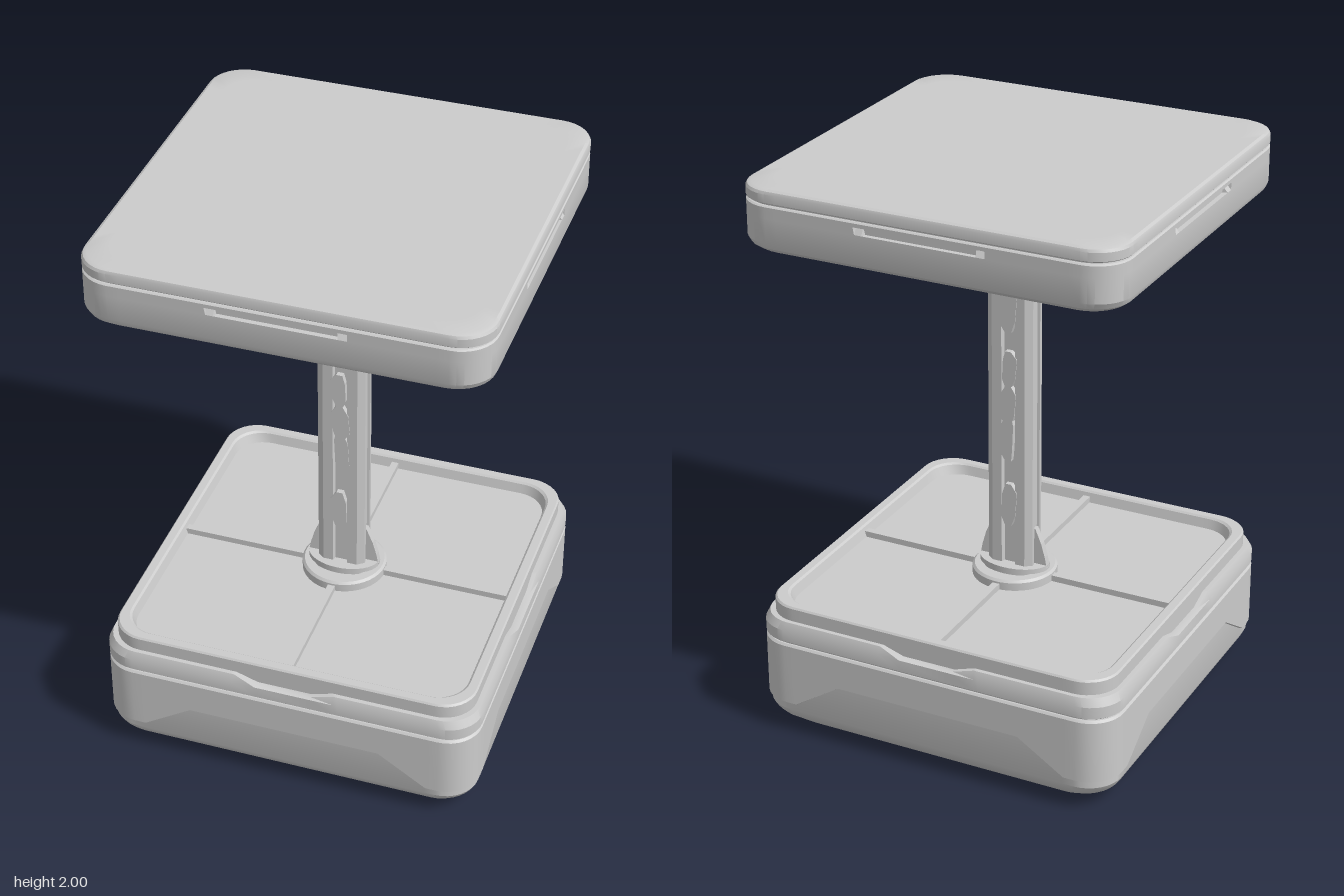
import * as THREE from 'three';
import { toCreasedNormals, mergeGeometries } from 'three/addons/utils/BufferGeometryUtils.js';

const mat = new THREE.MeshStandardMaterial({ color: 0xcccccc });
const add = (parent, name, geo) => {
  const mesh = new THREE.Mesh(geo, mat);
  mesh.name = name;
  parent.add(mesh);
  return mesh;
};

// Positions along each straight side where edge contours may break
const half = [0.1, 0.18, 0.195, 0.2, 0.225, 0.23, 0.34, 0.51, 0.55];
const SIDE = [...half.map(t => -t).reverse(), ...half];
const val = (f, t) => (typeof f === 'function' ? f(t) : f);

// One rounded-square ring; half-width h and height y may vary along the side
function ring([h, y]) {
  const h1 = val(h, 1), r = h1 * 0.18, c = h1 - r, pts = [];
  for (let q = 0; q < 4; q++) {
    const cs = [1, 0, -1, 0][q], sn = [0, 1, 0, -1][q];
    const put = (a, b, t) => pts.push([a * cs - b * sn, val(y, Math.abs(t)), a * sn + b * cs]);
    for (const t of SIDE) put(val(h, Math.abs(t)), t * c / 0.55, t);
    for (let i = 1; i < 8; i++) {
      const a = i / 8 * Math.PI / 2;
      put(c + r * Math.cos(a), c + r * Math.sin(a), 1);
    }
  }
  return pts;
}

// Skin a stack of rings, ordered from the bottom up, closed at both ends
function loft(profile) {
  const rings = profile.map(ring), n = rings[0].length, pos = [], idx = [];
  rings.forEach(r => r.forEach(p => pos.push(...p)));
  for (let k = 0; k < rings.length - 1; k++)
    for (let i = 0; i < n; i++) {
      const a = k * n + i, b = k * n + (i + 1) % n;
      idx.push(a, a + n, b + n, a, b + n, b);
    }
  const last = (rings.length - 1) * n, c0 = rings.length * n;
  pos.push(0, val(profile[0][1], 1), 0, 0, val(profile.at(-1)[1], 1), 0);
  for (let i = 0; i < n; i++) {
    const j = (i + 1) % n;
    idx.push(c0, i, j, c0 + 1, last + j, last + i);
  }
  const g = new THREE.BufferGeometry();
  g.setAttribute('position', new THREE.Float32BufferAttribute(pos, 3));
  g.setIndex(idx);
  return toCreasedNormals(g, 0.45);
}

const polygon = pts => new THREE.Shape(pts.map(p => new THREE.Vector2(...p)));
const ramp = (a, b, ya, yb) => t => THREE.MathUtils.mapLinear(THREE.MathUtils.clamp(t, a, b), a, b, ya, yb);

// Square raised frame lying flat, h outer half-width, w bar width
function frame(h, w, depth) {
  const sq = s => [[-s, -s], [s, -s], [s, s], [-s, s]];
  const s = polygon(sq(h));
  s.holes.push(new THREE.Path(polygon(sq(h - w)).getPoints().reverse()));
  return new THREE.ExtrudeGeometry(s, { depth, bevelEnabled: false }).rotateX(-Math.PI / 2);
}

function buildBase() {
  const base = new THREE.Group();
  base.name = 'base';
  add(base, 'lowerBody', loft([
    [0.565, 0], [0.585, 0.005], [0.64, 0.05], [0.655, 0.07], [0.664, 0.09], [0.664, 0.3],
  ]));
  // Outer cladding with the raised cut-out in the middle of each side
  const skirt = ramp(0.34, 0.51, 0.23, 0.12);
  add(base, 'bodyCladding', loft([
    [0.655, skirt], [0.672, skirt], [0.672, 0.345], [0.666, 0.352], [0.64, 0.352],
  ]));
  add(base, 'seam', loft([[0.66, 0.34], [0.66, 0.37]]));
  // Upper band, its top edge dipping in the middle of each side
  const dip = ramp(0.1, 0.18, 0.408, 0.433);
  add(base, 'upperBand', loft([
    [0.64, 0.358], [0.667, 0.358], [0.672, 0.363], [0.672, 0.405],
    [0.66, dip], [0.645, dip], [0.64, 0.4],
  ]));
  add(base, 'tray', loft([
    [0.645, 0.4], [0.645, 0.48], [0.64, 0.486], [0.612, 0.486], [0.605, 0.48], [0.595, 0.445],
  ]));
  for (const turn of [0, 1]) {
    const rib = add(base, 'trayRib', new THREE.BoxGeometry(1.2, 0.03, 0.026));
    rib.position.y = 0.452;
    rib.rotation.y = turn * Math.PI / 2;
  }
  add(base, 'hub', toCreasedNormals(new THREE.LatheGeometry([
    [0.15, 0.44], [0.15, 0.474], [0.142, 0.482], [0.11, 0.482], [0.105, 0.476], [0, 0.476],
  ].map(p => new THREE.Vector2(...p)), 48), 0.5));
  return base;
}

function buildLid() {
  const lid = new THREE.Group();
  lid.name = 'top';
  // Finger recess in the middle of each side
  const cut = w => t => (t <= w ? 0.655 : 0.672);
  add(lid, 'lidBody', loft([
    [0.55, 1.77], [0.56, 1.768], [0.6, 1.77], [0.645, 1.784], [0.664, 1.8], [0.672, 1.82], [0.672, 1.905],
    [cut(0.195), 1.905], [cut(0.225), 1.929], [0.672, 1.93],
    [0.672, 1.943], [0.667, 1.947], [0.6, 1.947],
  ]));
  add(lid, 'lidSeam', loft([[0.66, 1.93], [0.66, 1.97]]));
  add(lid, 'lidCover', loft([
    [0.6, 1.953], [0.668, 1.953], [0.672, 1.957], [0.672, 1.986], [0.668, 1.995], [0.658, 2], [0.6, 2],
  ]));
  // Underside frames and the grid of round cups
  add(lid, 'undersideFrame', frame(0.47, 0.012, 0.008)).position.y = 1.764;
  add(lid, 'undersideInnerFrame', frame(0.43, 0.012, 0.009)).position.y = 1.762;
  const cup = new THREE.LatheGeometry([
    [0, 0.001], [0.025, 0.001], [0.03, -0.003], [0.045, -0.003], [0.05, 0.002],
    [0.062, 0.002], [0.066, -0.006], [0.076, -0.006], [0.08, 0.004],
  ].map(p => new THREE.Vector2(p[0], p[1] + 1.766)), 28);
  // Profile runs outward, so its faces look down
  const cups = [];
  for (let i = -2; i <= 2; i++)
    for (let j = -2; j <= 2; j++)
      if (i || j) cups.push(cup.clone().translate(i * 0.17, 0, j * 0.17));
  const cupMesh = add(lid, 'cupGrid', toCreasedNormals(mergeGeometries(cups), 0.5));
  cupMesh.material = mat.clone();
  cupMesh.material.side = THREE.DoubleSide;
  return lid;
}

function buildPost() {
  const post = new THREE.Group();
  post.name = 'post';
  // Quarter of the section, mirrored: chamfered sides, grooves on all faces
  const q = [[0.076, 0.018], [0.085, 0.02], [0.085, 0.034], [0.062, 0.052], [0.026, 0.052], [0.022, 0.036]];
  const neg = (sx, sy, l) => l.map(([x, y]) => [x * sx, y * sy]);
  const rev = [...q].reverse();
  const section = polygon([...q, ...neg(-1, 1, rev), ...neg(-1, -1, q), ...neg(1, -1, rev)]);
  add(post, 'column', new THREE.ExtrudeGeometry(section, { depth: 1.3, bevelEnabled: false })
    .rotateX(-Math.PI / 2).translate(0, 0.46, 0));
  // Irregular inlays along the front and back grooves
  const inlay = (y, h, l, r) => polygon([
    [-0.012, y], [0.012, y], [r, y + h * 0.2], [r * 0.85, y + h * 0.75],
    [0.01, y + h], [-0.012, y + h], [-l, y + h * 0.8], [-l * 0.8, y + h * 0.25],
  ]);
  const inlays = [[0.65, 0.16, 0.034, 0.026], [0.9, 0.17, 0.02, 0.034], [1.04, 0.14, 0.03, 0.036],
    [1.18, 0.13, 0.034, 0.022], [1.38, 0.18, 0.034, 0.036]]
    .map(a => new THREE.ExtrudeGeometry(inlay(...a), { depth: 0.11, bevelEnabled: false }).translate(0, 0, -0.055));
  add(post, 'grooveInlays', mergeGeometries(inlays));
  // Oval flanges and side gussets at both ends
  for (const [y, h] of [[0.487, 0.026], [1.755, 0.034]]) {
    const f = add(post, 'flange', new THREE.CylinderGeometry(0.13, 0.13, h, 40));
    f.position.y = y;
    f.scale.z = 0.68;
  }
  for (const s of [1, -1])
    for (const [y, d] of [[0.49, 1], [1.745, -1]]) {
      const pts = [[0.07, 0], [0.13, 0], [0.122, 0.04], [0.108, 0.09], [0.085, 0.145], [0.07, 0.145]];
      const shape = polygon(pts.map(([px, py]) => [s * px, y + d * py]));
      add(post, 'gusset', new THREE.ExtrudeGeometry(shape, { depth: 0.024, bevelEnabled: false })
        .translate(0, 0, -0.012));
    }
  return post;
}

export function createModel() {
  const model = new THREE.Group();
  model.name = 'pedestalStand';
  model.add(buildBase(), buildPost(), buildLid());
  return model;
}
